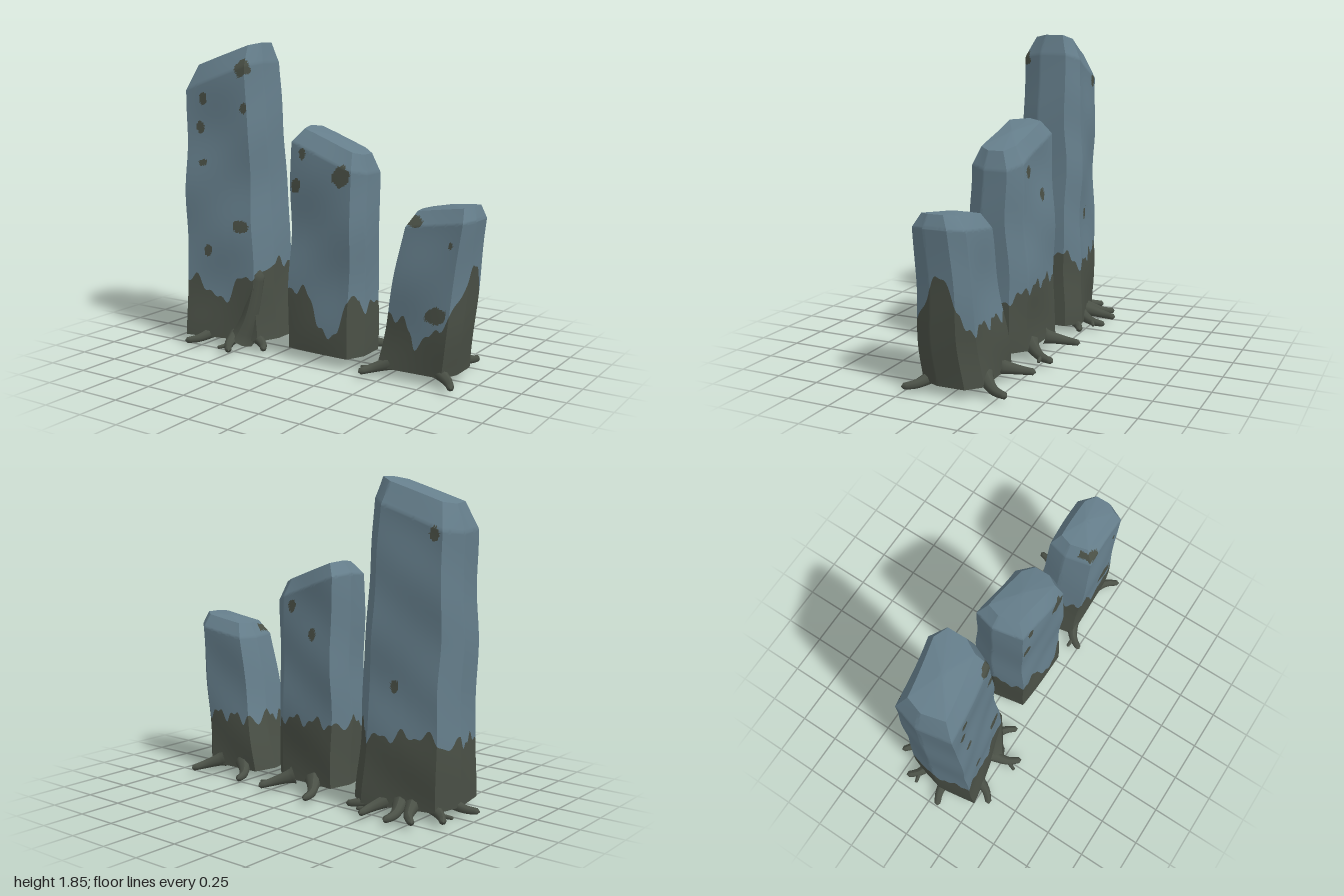
import * as THREE from 'three';
import { toCreasedNormals } from 'three/addons/utils/BufferGeometryUtils.js';

const stoneMat = new THREE.MeshStandardMaterial({ color: 0x657e8b });
stoneMat.name = 'blueStone';
const mossMat = new THREE.MeshStandardMaterial({ color: 0x4a5046 });
mossMat.name = 'darkMoss';

const { lerp, degToRad } = THREE.MathUtils;
const wave = (x, y, z) =>
  Math.sin(41 * x + 17 * y + 3) * 0.5 + Math.sin(29 * y - 37 * z + 1) * 0.5 + Math.sin(83 * x - 61 * y + 71 * z) * 0.3;

// Shared seven-cornered plan, from front left by the right side and the back
const PLAN = [[-0.85, 1], [0.8, 0.9], [1, 0.3], [1, -0.6], [0.65, -1], [-0.85, -0.9], [-1, -0.1]]
  .map(([u, v]) => new THREE.Vector2(u, v));

// foot and shoulder are rings; rise is the height of the bevel above the shoulder
// patches: x, y, radius (negative radius for the back), optional stretch to the side
const STONES = [
  {
    name: 'tallStone', under: 0, rise: 0.135,
    foot: { x: -0.615, y: 0.055, w: 0.285, d: 0.22, skew: -0.035, slope: 0 },
    shoulder: { x: -0.662, y: 1.64, w: 0.247, d: 0.185, skew: -0.02, slope: 0.09 },
    moss: { level: 0.44, dipX: -0.62, dip: 0.14, right: 0.06 },
    patches: [[-0.495, 1.69, 0.046], [-0.475, 1.46, 0.026], [-0.75, 1.51, 0.034], [-0.78, 1.34, 0.028], [-0.75, 1.13, 0.023, 1.2],
      [-0.485, 0.76, 0.048, 1.3], [-0.71, 0.6, 0.034], [-0.82, 1.55, -0.03], [-0.6, 0.73, -0.032]],
    reach: 0.39, roots: [35, 66, 120, 170, 213, 238, 261, 286, 316],
  },
  {
    name: 'middleStone', under: 0.03, rise: 0.09,
    foot: { x: 0.06, y: 0.065, w: 0.25, d: 0.185, skew: 0.02, slope: 0 },
    shoulder: { x: 0.075, y: 1.21, w: 0.25, d: 0.16, skew: 0.02, slope: -0.09 },
    moss: { level: 0.41, dipX: 0.13, dip: 0.27, right: -0.06 },
    patches: [[-0.06, 1.22, 0.028], [-0.1, 1.03, 0.04], [0.205, 1.11, 0.056], [0.17, 1.1, -0.03], [0, 0.95, -0.03]],
    reach: 0.4, roots: [246, 301],
  },
  {
    name: 'leaningStone', under: 0.03, rise: 0.08,
    foot: { x: 0.66, y: 0.055, w: 0.24, d: 0.18, skew: 0.01, slope: 0 },
    shoulder: { x: 0.789, y: 0.89, w: 0.207, d: 0.15, skew: 0.01, slope: 0.03, z: 0.015 },
    moss: { level: 0.35, dipX: 0.68, dip: 0.15, right: 0.28 },
    patches: [[0.66, 0.9, 0.038, 1.4], [0.89, 0.79, 0.016], [0.81, 0.39, 0.055, 1.1]],
    reach: 0.38, roots: [40, 135, 238, 300],
  },
];

const ringPoint = (r, p) =>
  new THREE.Vector3(r.x + r.w * p.x, r.y + r.slope * p.x, (r.z ?? 0) + r.d * p.y + r.skew * p.x);

function buildStone({ name, under, rise, foot, shoulder, moss, patches }) {
  const cap = {
    ...shoulder, x: shoulder.x + 0.013, y: shoulder.y + rise,
    w: shoulder.w * 0.82, d: shoulder.d * 0.65, slope: shoulder.slope * 0.8,
  };
  // Split every side of the plan into narrow columns
  const cols = PLAN.flatMap((a, i) => {
    const b = PLAN[(i + 1) % PLAN.length];
    const count = Math.ceil(a.distanceTo(b) / 0.05);
    return Array.from({ length: count }, (_, k) => a.clone().lerp(b, k / count));
  });
  // Steps from underside to foot, moss line, shoulder, cap and apex
  const steps = [5, 24, Math.ceil(shoulder.y / 0.012), 8, 6];
  const rows = steps.reduce((a, b) => a + b, 1);
  const mossRows = steps[0] + steps[1];
  const pos = [];
  for (const c of cols) {
    const low = ringPoint(foot, c), high = ringPoint(shoulder, c);
    // Ragged moss line for this column
    let h = moss.level + 0.055 * wave(low.x, 0, low.z) + moss.right * Math.max(0, c.x) ** 4 * (1 - c.y * c.y);
    if (c.y > 0.5) h -= moss.dip * Math.exp(-(((low.x - moss.dipX) / 0.1) ** 2));
    const mossLine = low.clone().lerp(high, (Math.max(h, 0.11) - low.y) / (high.y - low.y));
    const stops = [
      new THREE.Vector3(foot.x, under, 0), low, mossLine, high, ringPoint(cap, c),
      new THREE.Vector3(cap.x, cap.y + 0.015, 0),
    ];
    steps.forEach((count, k) => {
      for (let j = k ? 1 : 0; j <= count; j++) {
        const { x, y, z } = stops[k].clone().lerp(stops[k + 1], j / count);
        // Gentle weathered dents
        pos.push(
          x + 0.004 * Math.sin(9 * y + 5 * z + foot.x * 7), y,
          z + 0.007 * Math.sin(7 * y + 6 * x) + 0.004 * Math.sin(13 * y - 9 * x));
      }
    });
  }
  const inPatch = (x, y, z) => patches.some(([px, py, r, stretch = 0.84]) =>
    z * Math.sign(r) > 0.06
    && Math.hypot((x - px) / stretch, (y - py) * stretch) < Math.abs(r) * (1 + 0.25 * wave(x, y, z)));
  const faces = [[], []];
  const addFace = (row, ...abc) => {
    const [x, y, z] = [0, 1, 2].map((k) => abc.reduce((sum, v) => sum + pos[v * 3 + k] / 3, 0));
    faces[row < mossRows || inPatch(x, y, z) ? 1 : 0].push(...abc);
  };
  cols.forEach((_, i) => {
    const l = i * rows, r = ((i + 1) % cols.length) * rows;
    for (let j = 0; j < rows - 1; j++) {
      if (j > 0) addFace(j, l + j, r + j, r + j + 1);
      if (j < rows - 2) addFace(j, l + j, r + j + 1, l + j + 1);
    }
  });
  const geo = new THREE.BufferGeometry();
  geo.setAttribute('position', new THREE.Float32BufferAttribute(pos, 3));
  geo.setIndex(faces.flat());
  geo.addGroup(0, faces[0].length, 0);
  geo.addGroup(faces[0].length, faces[1].length, 1);
  const mesh = new THREE.Mesh(toCreasedNormals(geo, 0.7), [stoneMat, mossMat]);
  mesh.name = name;
  return mesh;
}

// Tapered, slightly bent root
function buildRoot(name, points, thick, thin) {
  const curve = new THREE.CatmullRomCurve3(points);
  const N = 14, S = 8;
  const geo = new THREE.TubeGeometry(curve, N, 1, S, false);
  const p = geo.attributes.position, v = new THREE.Vector3();
  for (let k = 0; k < p.count; k++) {
    const t = Math.floor(k / (S + 1)) / N, c = curve.getPointAt(t);
    const r = t === 1 ? 0.0005 : lerp(thick, thin, Math.sqrt(t));
    v.fromBufferAttribute(p, k).sub(c).multiplyScalar(r).add(c);
    p.setXYZ(k, v.x, Math.max(v.y, 0.02), v.z);
  }
  geo.computeVertexNormals();
  const mesh = new THREE.Mesh(geo, mossMat);
  mesh.name = name;
  return mesh;
}

export function createModel() {
  const model = new THREE.Group();
  model.name = 'standingStones';
  for (const s of STONES) {
    model.add(buildStone(s));
    // Roots spread from the foot
    s.roots.forEach((deg, i) => {
      const at = (share, y, turn) => {
        const a = degToRad(deg + turn);
        return new THREE.Vector3(s.foot.x + s.reach * share * Math.cos(a), y, s.reach * share * Math.sin(a));
      };
      const bend = i % 2 ? 4 : -4;
      const middle = at(0.78, 0.05, bend);
      model.add(buildRoot('root', [at(0.45, 0.085, 0), middle, at(1, 0.04, 0)], 0.055, 0.018));
      // Short side twig on every third root
      if (i % 3 === 1) model.add(buildRoot('rootTwig', [middle, at(0.93, 0.045, bend * 3)], 0.018, 0.01));
    });
  }
  // Broad mossy fold climbing the tall stone's front right corner
  const climb = [[-0.51, 0.05, 0.165], [-0.45, 0.2, 0.145], [-0.39, 0.5, 0.125]].map((p) => new THREE.Vector3(...p));
  model.add(buildRoot('mossyFold', climb, 0.085, 0.035));
  return model;
}
